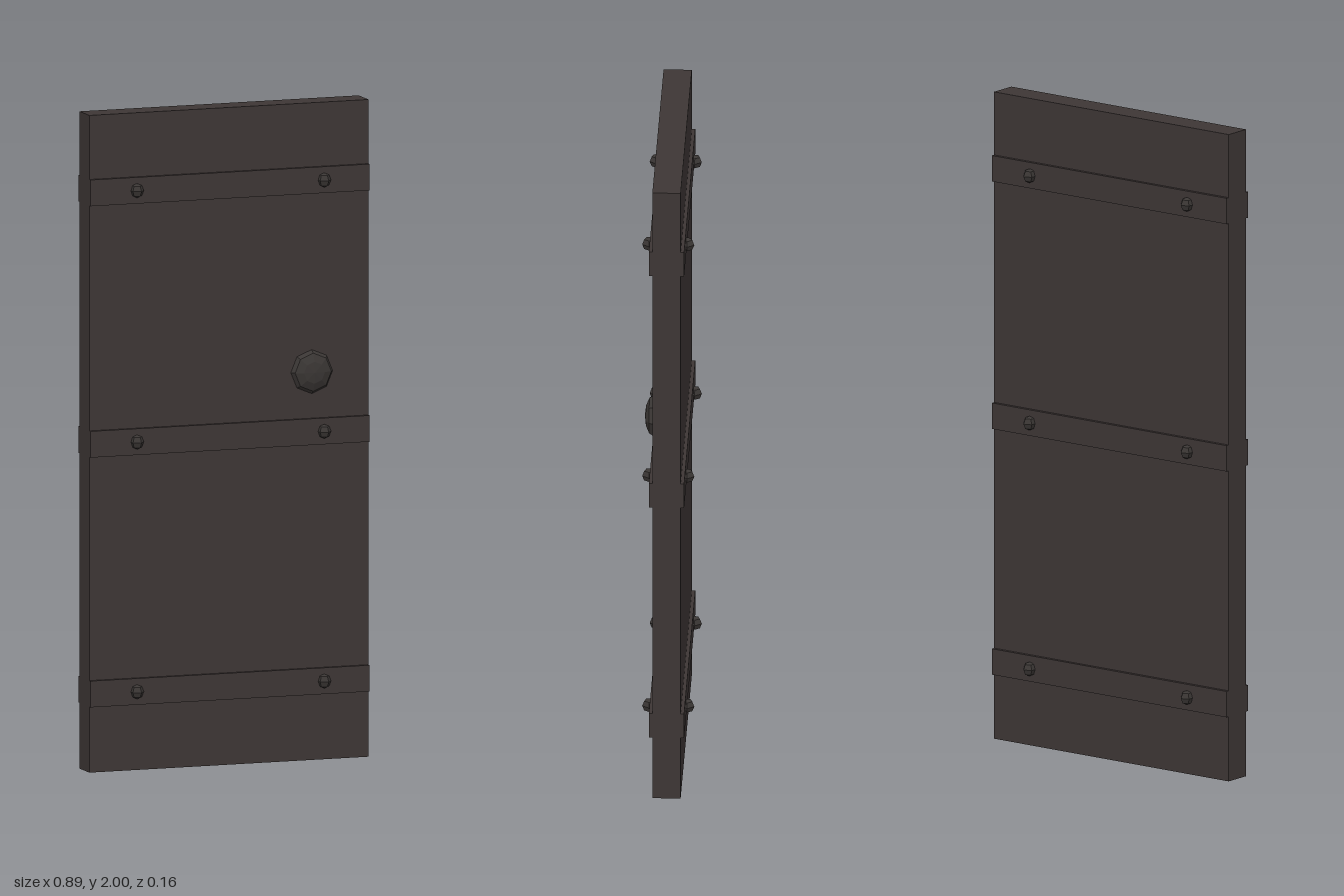
import * as THREE from 'three';

export function createModel() {
  const group = new THREE.Group();
  const wood = new THREE.MeshStandardMaterial({ color: 0x3d3635 });
  wood.name = 'dark wood';
  const iron = new THREE.MeshStandardMaterial({ color: 0x3a3634 });
  iron.name = 'dark iron';

  const add = (name, geometry, material, x, y, z) => {
    const mesh = new THREE.Mesh(geometry, material);
    mesh.name = name;
    mesh.position.set(x, y, z);
    group.add(mesh);
  };
  // faceted ball
  const ball = (r, w, h) => new THREE.SphereGeometry(r, w, h).toNonIndexed();
  const facet = (g) => { g.computeVertexNormals(); return g; };

  // door slab
  add('doorSlab', new THREE.BoxGeometry(0.895, 2, 0.085), wood, 0, 1, 0);

  // cross bands on both faces, each with two rivets
  const bandGeo = new THREE.BoxGeometry(0.895, 0.08, 0.0115);
  const rivetGeo = facet(ball(0.022, 5, 4).rotateY(Math.PI));
  for (const y of [0.24, 1, 1.765]) {
    for (const side of [1, -1]) {
      add('crossBand', bandGeo, wood, 0, y, side * 0.04725);
      for (const x of [-0.3, 0.3]) add('rivet', rivetGeo, iron, x, y, side * 0.0575);
    }
  }

  // flattened round knob, on the front only
  const knobGeo = facet(ball(0.067, 8, 6).rotateX(Math.PI / 2).scale(1, 1, 0.42));
  add('doorKnob', knobGeo, iron, 0.265, 1.182, 0.0435);

  return group;
}
